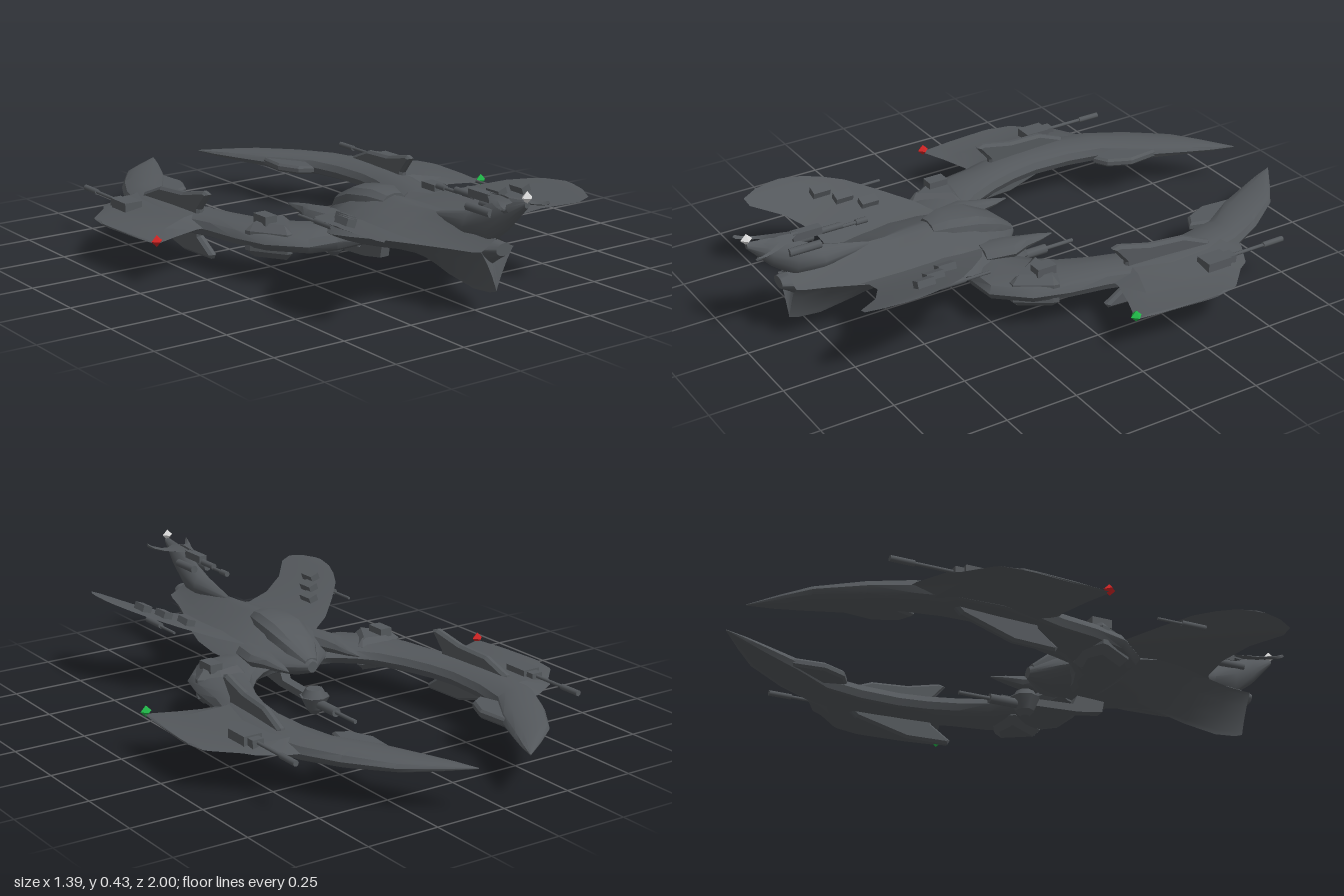
import * as THREE from 'three';
import { toCreasedNormals } from 'three/addons/utils/BufferGeometryUtils.js';

const mat = (name, color) => Object.assign(new THREE.MeshStandardMaterial({ color }), { name });

// Closed rings joined into a skin with capped ends, always wound outward
function loft(rings, crease = 0.7) {
  const n = rings[0].length, pos = [], idx = [];
  rings.forEach(r => r.forEach(p => pos.push(...p)));
  for (let i = 0; i < rings.length - 1; i++)
    for (let j = 0; j < n; j++) {
      const a = i * n + j, b = i * n + (j + 1) % n;
      idx.push(a, b, a + n, b, b + n, a + n);
    }
  const last = (rings.length - 1) * n;
  for (let j = 1; j < n - 1; j++) idx.push(0, j + 1, j, last, last + j, last + j + 1);
  const v = k => new THREE.Vector3().fromArray(pos, k * 3);
  let volume = 0;
  for (let i = 0; i < idx.length; i += 3) volume += v(idx[i]).dot(v(idx[i + 1]).cross(v(idx[i + 2])));
  if (volume < 0) idx.reverse();
  const g = new THREE.BufferGeometry();
  g.setAttribute('position', new THREE.Float32BufferAttribute(pos, 3));
  g.setIndex(idx);
  return toCreasedNormals(g, crease);
}

// Superellipse ring across the z axis; a high power pinches it to ridges
function hullRing([z, hw, top, bottom, mid, p], n = 20) {
  return Array.from({ length: n }, (_, i) => {
    const a = i / n * Math.PI * 2, c = Math.cos(a), s = Math.sin(a);
    const h = s > 0 ? top - mid : mid - bottom;
    return [hw * Math.sign(c) * Math.abs(c) ** p, mid + h * Math.sign(s) * Math.abs(s) ** p, z];
  });
}

const extrude = (pts, thick, bevel) => new THREE.ExtrudeGeometry(
  new THREE.Shape(pts.map(p => new THREE.Vector2(...p))),
  { depth: thick - 2 * bevel, bevelEnabled: bevel > 0, bevelThickness: bevel, bevelSize: bevel, bevelOffset: -bevel, bevelSegments: 1 }
).translate(0, 0, bevel - thick / 2);
// Flat plate outlined in x,z
const slab = (pts, y, thick, bevel = 0) => extrude(pts, thick, bevel).rotateX(Math.PI / 2).translate(0, y, 0);
// Upright plate outlined in z,y
const blade = (pts, thick, bevel = 0) => extrude(pts, thick, bevel).rotateY(-Math.PI / 2);
const box = (w, h, d, x, y, z) => new THREE.BoxGeometry(w, h, d).translate(x, y, z);
// Round bar along z
const bar = (r, z0, z1, x, y) => new THREE.CylinderGeometry(r, r, Math.abs(z1 - z0), 8)
  .rotateX(Math.PI / 2).translate(x, y, (z0 + z1) / 2);

export function createModel() {
  const hull = mat('hullGrey', 0x54585c), red = mat('redLight', 0xd02424);
  const green = mat('greenLight', 0x20b848), white = mat('whiteLight', 0xdcdcdc);
  const root = new THREE.Group();
  root.name = 'starship';
  const add = (parent, name, geo, m = hull) => {
    const mesh = new THREE.Mesh(geo, m);
    mesh.name = name;
    parent.add(mesh);
    return mesh;
  };

  // Central hull with a ventral keel: z, half width, top, bottom, middle, power
  add(root, 'fuselage', loft([
    [0.02, 0.02, 0.18, 0.14, 0.16, 1.2], [0.09, 0.1, 0.22, 0.115, 0.16, 1.3],
    [0.2, 0.2, 0.265, 0.1, 0.165, 1.6], [0.3, 0.22, 0.28, 0.095, 0.175, 1.7],
    [0.4, 0.22, 0.277, 0.11, 0.19, 1.8], [0.5, 0.19, 0.272, 0.115, 0.2, 2],
    [0.62, 0.14, 0.275, 0.085, 0.205, 2.2], [0.74, 0.095, 0.275, 0.068, 0.21, 2.3],
    [0.82, 0.075, 0.265, 0.075, 0.215, 2.3], [0.85, 0.065, 0.26, 0.085, 0.22, 2.3],
    [0.83, 0.05, 0.25, 0.17, 0.22, 1.6], [0.88, 0.03, 0.245, 0.205, 0.225, 1],
  ].map(r => hullRing(r))));

  // Raised canopy and its side blisters
  add(root, 'canopy', loft([
    [0.03, 0.025, 0.19, 0.15, 0.17, 0.8], [0.09, 0.06, 0.24, 0.16, 0.2, 0.7],
    [0.18, 0.08, 0.285, 0.18, 0.22, 0.7], [0.28, 0.072, 0.298, 0.2, 0.23, 0.7],
    [0.34, 0.05, 0.285, 0.22, 0.24, 0.8],
  ].map(r => hullRing(r, 12)), 0.5));

  // Rising tail, its gun and beacon
  add(root, 'tailBoom', loft([
    [0.56, 0.01, 0.275, 0.24, 0.26, 1], [0.73, 0.04, 0.315, 0.23, 0.27, 1.2],
    [0.82, 0.035, 0.36, 0.23, 0.3, 1.2], [0.9, 0.026, 0.39, 0.29, 0.34, 1.2],
    [0.98, 0.01, 0.398, 0.375, 0.385, 1],
  ].map(r => hullRing(r, 12))));
  add(root, 'tailGunBody', box(0.03, 0.026, 0.1, 0, 0.372, 0.775));
  add(root, 'tailGunSleeve', bar(0.011, 0.73, 0.65, 0, 0.362));
  add(root, 'tailGunBarrel', bar(0.006, 0.66, 0.56, 0, 0.356));
  add(root, 'tailGunMuzzle', bar(0.01, 0.6, 0.56, 0, 0.356));

  // Belly gun hung under the bow
  add(root, 'bellyStrut', blade([[0.3, 0.11], [0.29, 0.06], [0.2, 0.045], [0, 0.035], [0, 0.06], [0.18, 0.07], [0.2, 0.11]], 0.035));
  add(root, 'bellyTurret', new THREE.CylinderGeometry(0.052, 0.03, 0.045, 8).translate(0, 0.04, 0.01));
  add(root, 'bellyTurretCap', new THREE.CylinderGeometry(0.03, 0.045, 0.025, 8).translate(0, 0.075, 0.01));
  add(root, 'bellyTurretFoot', new THREE.CylinderGeometry(0.03, 0.015, 0.018, 8).translate(0, 0.009, 0.01));
  add(root, 'bellyGunSleeve', bar(0.017, 0, -0.12, 0, 0.04));
  add(root, 'bellyGunBarrel', bar(0.007, -0.1, -0.23, 0, 0.04));

  // Everything paired is built on the left and mirrored
  const side = new THREE.Group();
  side.name = 'leftSide';

  // Great curved horn: outer x,z, inner x,z, half height
  add(side, 'horn', loft([
    [0.1, -0.998, 0.098, -0.995, 0.002], [0.21, -0.92, 0.125, -0.92, 0.014], [0.3, -0.85, 0.16, -0.84, 0.023],
    [0.4, -0.71, 0.225, -0.7, 0.034], [0.465, -0.58, 0.31, -0.57, 0.038], [0.5, -0.45, 0.335, -0.44, 0.04],
    [0.505, -0.3, 0.34, -0.3, 0.04], [0.48, -0.17, 0.325, -0.2, 0.04], [0.45, -0.07, 0.295, -0.1, 0.04],
    [0.43, 0.06, 0.25, 0, 0.04], [0.395, 0.18, 0.2, 0.06, 0.04], [0.3, 0.285, 0.14, 0.11, 0.042],
    [0.19, 0.29, 0.07, 0.14, 0.045], [0.05, 0.28, 0.02, 0.15, 0.045],
  ].map(([ox, oz, ix, iz, h]) => Array.from({ length: 12 }, (_, i) => {
    const a = i / 12 * Math.PI * 2, t = (1 + Math.cos(a)) / 2;
    const y = 0.15 - h * 0.2 + h * Math.sign(Math.sin(a)) * Math.abs(Math.sin(a)) ** 0.8;
    return [ix + (ox - ix) * t, y, iz + (oz - iz) * t];
  }))));
  add(side, 'hornBarb', slab([[0.22, -0.78], [0.205, -0.62], [0.24, -0.54], [0.29, -0.512], [0.31, -0.58], [0.36, -0.66], [0.3, -0.74]], 0.143, 0.03, 0.008));
  add(side, 'hornClasp', slab([[0.34, 0.045], [0.41, 0.09], [0.405, 0.11], [0.335, 0.22], [0.315, 0.22], [0.23, 0.085], [0.24, 0.07]], 0.14, 0.115, 0.025));
  add(side, 'claspCap', box(0.045, 0.03, 0.07, 0.345, 0.205, 0.11));

  // Upright stabiliser on the horn, in two halves
  const fin = add(side, 'hornFin', blade([[0.19, 0.25], [0.165, 0.258], [0.05, 0.232], [-0.08, 0.225], [-0.18, 0.185],
    [-0.19, 0.14], [-0.13, 0.085], [0.05, 0.035], [0.2, 0.035], [0.21, 0.05], [0.14, 0.1], [0.14, 0.19]], 0.03, 0.009));
  fin.position.set(0.432, 0, -0.29);
  fin.rotation.y = -0.065;

  // Outrigger plate: thick at the horn, thin outside
  add(side, 'outrigger', loft([
    [0.43, -0.6, -0.09, 0.032], [0.48, -0.585, -0.09, 0.026], [0.575, -0.53, -0.06, 0.011],
    [0.6, -0.49, -0.05, 0.007], [0.675, -0.415, -0.02, 0.004], [0.685, -0.4, -0.1, 0.004], [0.697, -0.33, -0.28, 0.003],
  ].map(([x, a, b, h]) => [[x, 0.144, a], [x, 0.144 + h, a + (b - a) * 0.15], [x, 0.144 + h, b - (b - a) * 0.15],
    [x, 0.144, b], [x, 0.144 - h, b - (b - a) * 0.15], [x, 0.144 - h, a + (b - a) * 0.15]]), 0.3));
  add(side, 'outriggerTurret', box(0.065, 0.035, 0.09, 0.548, 0.167, -0.42));
  add(side, 'outriggerTurretFront', box(0.04, 0.028, 0.04, 0.548, 0.165, -0.475));
  add(side, 'outriggerBarrel', bar(0.006, -0.46, -0.7, 0.548, 0.168));
  add(side, 'outriggerMuzzle', bar(0.01, -0.62, -0.7, 0.548, 0.168));

  // Swept, upturned wing: x, leading z, trailing z, half thickness
  const wingY = x => 0.2 + 0.115 * Math.max(0, (x - 0.08) / 0.365) ** 1.25;
  add(side, 'wing', loft([
    [0.03, 0.2, 0.72, 0.014], [0.1, 0.2, 0.675, 0.013], [0.14, 0.215, 0.637, 0.011], [0.22, 0.265, 0.645, 0.009],
    [0.31, 0.355, 0.7, 0.007], [0.385, 0.44, 0.79, 0.005], [0.42, 0.505, 0.795, 0.004],
    [0.445, 0.57, 0.74, 0.003], [0.456, 0.63, 0.68, 0.002],
  ].map(([x, a, b, h]) => {
    const y = wingY(x), m = a + (b - a) * 0.35;
    return [[x, y, a], [x, y + h, m], [x, y, b], [x, y - h, m]];
  }), 0.9));
  for (const [x, z] of [[0.255, 0.42], [0.303, 0.49], [0.35, 0.55]]) {
    const block = add(side, 'wingBlock', new THREE.BoxGeometry(0.034, 0.03, 0.062));
    block.position.set(x, wingY(x) + 0.014, z);
    block.rotation.z = 0.35;
  }
  add(side, 'wingGun', bar(0.005, 0.32, 0.47, 0.36, 0.266));
  add(side, 'wingGunMount', bar(0.01, 0.41, 0.5, 0.36, 0.268));

  // Forward prong beside the canopy
  add(side, 'prong', loft([
    [-0.05, 0.143, 0.002, 0.002], [0, 0.143, 0.018, 0.012], [0.06, 0.143, 0.028, 0.022], [0.12, 0.147, 0.05, 0.03], [0.22, 0.13, 0.05, 0.03],
  ].map(([z, x, w, h]) => hullRing([z, w, 0.19 + h, 0.19 - h, 0.19, 1], 8).map(p => [p[0] + x, p[1], p[2]]))));

  // Tail plane and the small pod beneath it
  add(side, 'tailPlane', loft([
    [0.005, 0.8, 0.93, 0.385], [0.03, 0.84, 0.92, 0.378], [0.055, 0.9, 0.945, 0.372], [0.075, 0.945, 0.98, 0.374], [0.083, 0.975, 0.988, 0.38],
  ].map(([x, a, b, y]) => [[x, y, a], [x, y + 0.006, (a + b) / 2], [x, y, b], [x, y - 0.006, (a + b) / 2]])));
  add(side, 'tailPod', bar(0.014, 0.74, 0.85, 0.028, 0.335));

  const other = side.clone();
  other.name = 'rightSide';
  other.scale.x = -1;
  root.add(side, other);

  // Navigation lights
  const light = (name, m, x, y, z) => add(root, name, new THREE.OctahedronGeometry(0.02).translate(x, y, z), m);
  light('leftLight', green, 0.67, 0.153, -0.025);
  light('rightLight', red, -0.67, 0.153, -0.025);
  light('tailLight', white, 0, 0.408, 0.978);
  return root;
}
